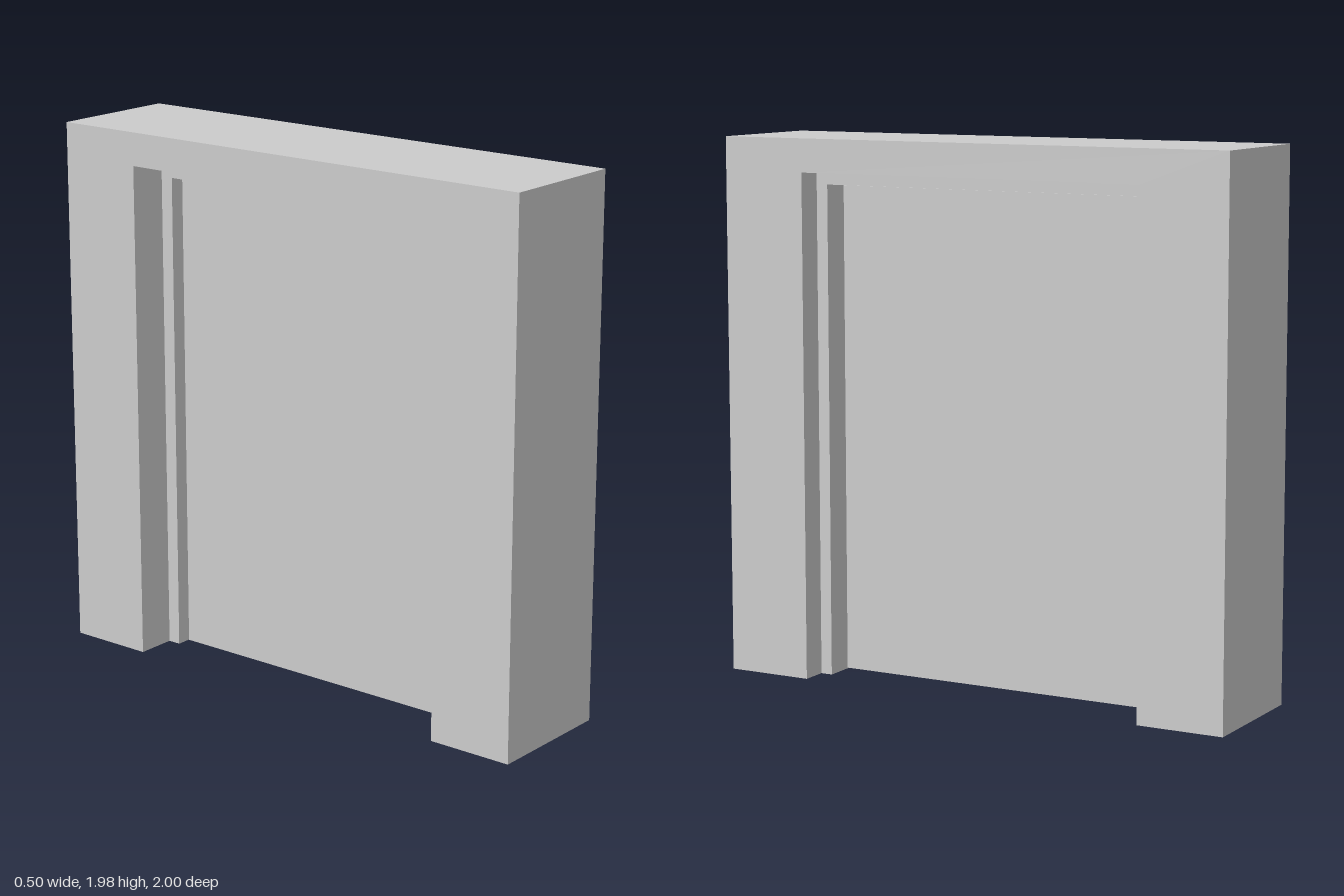
import * as THREE from 'three';

export function createModel() {
  const model = new THREE.Group();
  model.name = 'doorway';
  const grey = new THREE.MeshStandardMaterial({ color: 0xcccccc });
  grey.name = 'plainGrey';

  // Box given by its extents along each axis
  function slab(name, [x0, x1], [y0, y1], [z0, z1]) {
    const mesh = new THREE.Mesh(new THREE.BoxGeometry(x1 - x0, y1 - y0, z1 - z0), grey);
    mesh.name = name;
    mesh.position.set((x0 + x1) / 2, (y0 + y1) / 2, (z0 + z1) / 2);
    model.add(mesh);
  }

  // Thick wall around the opening: an upside-down U extruded through its depth
  const wall = new THREE.Shape();
  [[-1, 0], [-1, 1.98], [1, 1.98], [1, 0], [0.675, 0], [0.675, 1.858], [-0.675, 1.858], [-0.675, 0]]
    .forEach(([z, y], i) => (i ? wall.lineTo(-z, y) : wall.moveTo(-z, y)));
  const wallGeometry = new THREE.ExtrudeGeometry(wall, { depth: 0.5, bevelEnabled: false });
  wallGeometry.translate(0, 0, -0.25);
  wallGeometry.rotateY(Math.PI / 2);
  const wallMesh = new THREE.Mesh(wallGeometry, grey);
  wallMesh.name = 'wall';
  model.add(wallMesh);

  // Door lining: wide on the front jamb and head, narrower on the back jamb
  slab('frontJamb', [-0.15, 0.15], [0, 1.858], [0.63, 0.675]);
  slab('headLining', [-0.15, 0.15], [1.811, 1.858], [-0.626, 0.63]);
  slab('backJamb', [-0.1, 0.1], [0, 1.858], [-0.675, -0.626]);

  // Door leaf with a small clearance all round
  slab('doorLeaf', [-0.065, 0.065], [0.01, 1.804], [-0.607, 0.614]);

  return model;
}
